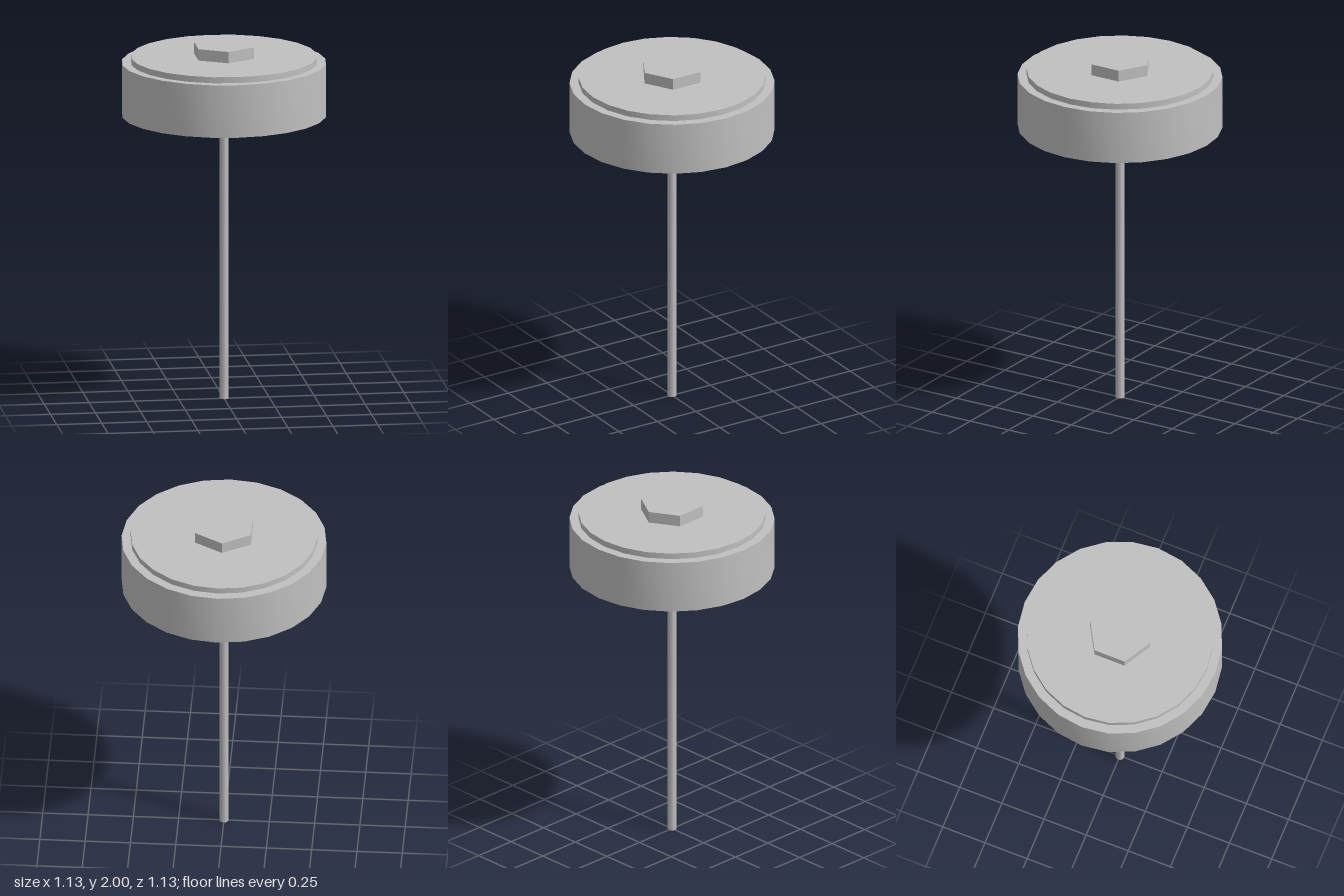
import * as THREE from 'three';
import { toCreasedNormals } from 'three/addons/utils/BufferGeometryUtils.js';

export function createModel() {
  const group = new THREE.Group();
  const steel = new THREE.MeshStandardMaterial({ color: 0xc0c0c0 });
  steel.name = 'grey steel';

  const add = (name, geometry, y = 0) => {
    const mesh = new THREE.Mesh(geometry, steel);
    mesh.name = name;
    mesh.position.y = y;
    group.add(mesh);
    return mesh;
  };

  // Upright cylinder between two heights
  const post = (name, radius, bottom, top, sides) =>
    add(name, new THREE.CylinderGeometry(radius, radius, top - bottom, sides), (bottom + top) / 2);

  // Outer collar: smooth round walls with sharp rims
  const inner = 0.515, outer = 0.565, low = 1.605, high = 1.902;
  const profile = [[inner, low], [outer, low], [outer, high], [inner, high], [inner, low]]
    .map(([r, y]) => new THREE.Vector2(r, y));
  add('outerRing', toCreasedNormals(new THREE.LatheGeometry(profile, 24), Math.PI / 6));

  // Core disc sits slightly higher, leaving a recess underneath
  post('coreDisc', inner, 1.64, 1.936, 24);

  // Long thin shaft
  post('shaft', 0.025, 0, 1.66, 12);

  // Hexagonal bolt head, points along z
  const head = post('hexHead', 0.178, 1.93, 2, 6);
  head.geometry = toCreasedNormals(head.geometry, Math.PI / 6);

  return group;
}
